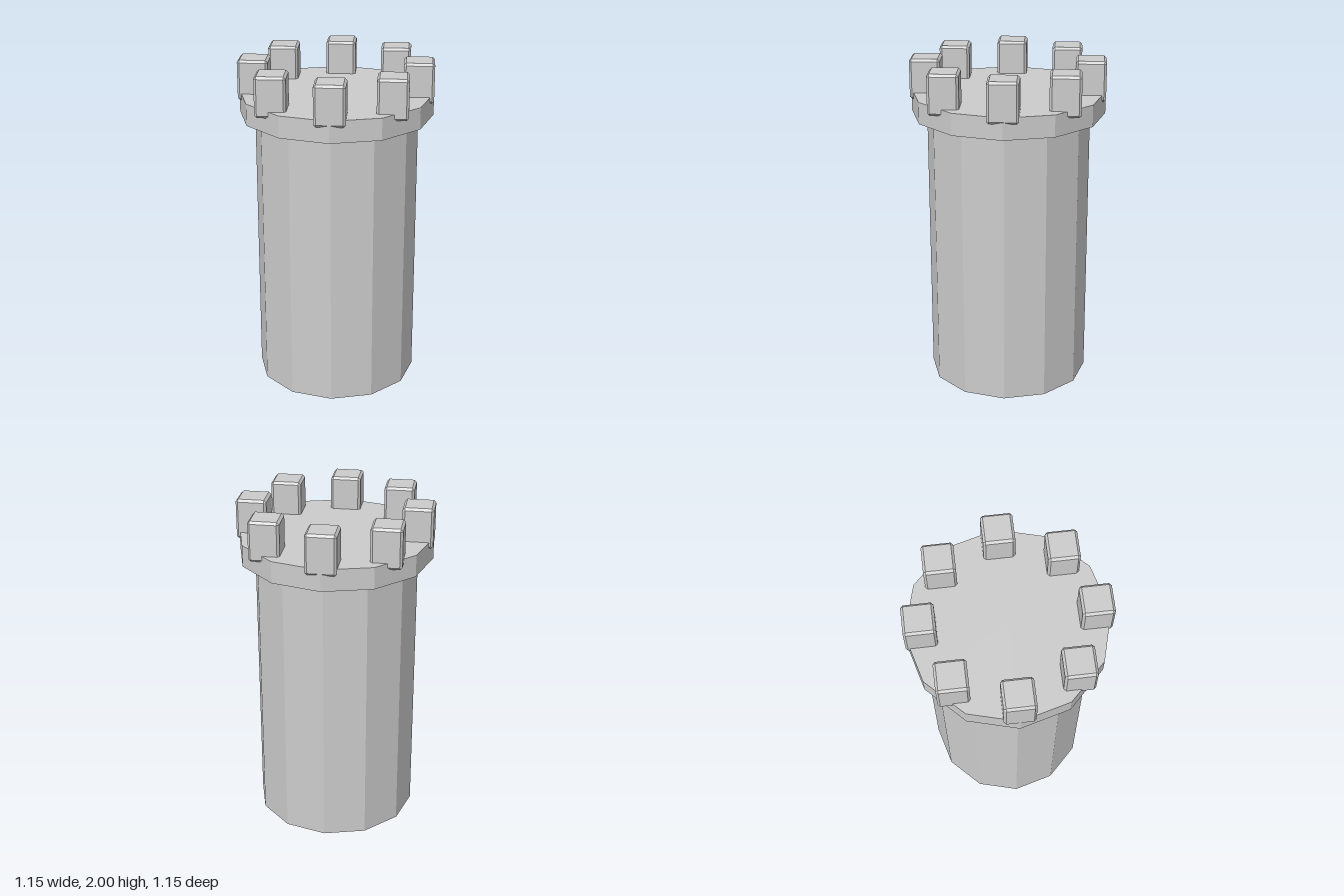
import * as THREE from 'three';
import { ConvexGeometry } from 'three/addons/geometries/ConvexGeometry.js';

const SIDES = 12;

// Box with every edge and corner cut flat: hull of three points per corner
function chamferedBox(w, h, d, c) {
  const points = [];
  for (const sx of [-1, 1]) for (const sy of [-1, 1]) for (const sz of [-1, 1]) {
    const x = w / 2, y = h / 2, z = d / 2;
    points.push(
      new THREE.Vector3(sx * x, sy * (y - c), sz * (z - c)),
      new THREE.Vector3(sx * (x - c), sy * y, sz * (z - c)),
      new THREE.Vector3(sx * (x - c), sy * (y - c), sz * z)
    );
  }
  return new ConvexGeometry(points);
}

export function createModel() {
  const tower = new THREE.Group();
  tower.name = 'tower';
  const stone = new THREE.MeshStandardMaterial({ color: 0xcccccc, flatShading: true });

  const add = (name, geometry, x, y, z) => {
    const mesh = new THREE.Mesh(geometry, stone);
    mesh.name = name;
    mesh.position.set(x, y, z);
    tower.add(mesh);
  };

  // Twelve-sided shaft and the wider platform on top of it
  const shaftTop = 1.67, platformTop = 1.8;
  add('shaft', new THREE.CylinderGeometry(0.485, 0.485, shaftTop, SIDES), 0, shaftTop / 2, 0);
  add('platform', new THREE.CylinderGeometry(0.575, 0.575, platformTop - shaftTop, SIDES),
    0, (shaftTop + platformTop) / 2, 0);

  // Ring of eight battlement blocks, all square to the axes and sunk into the platform
  const block = chamferedBox(0.18, 0.24, 0.18, 0.014);
  const ring = 0.485;
  for (let i = 0; i < 8; i++) {
    const a = (i * Math.PI) / 4;
    add(`battlement${i + 1}`, block, ring * Math.sin(a), 1.88, ring * Math.cos(a));
  }

  return tower;
}
